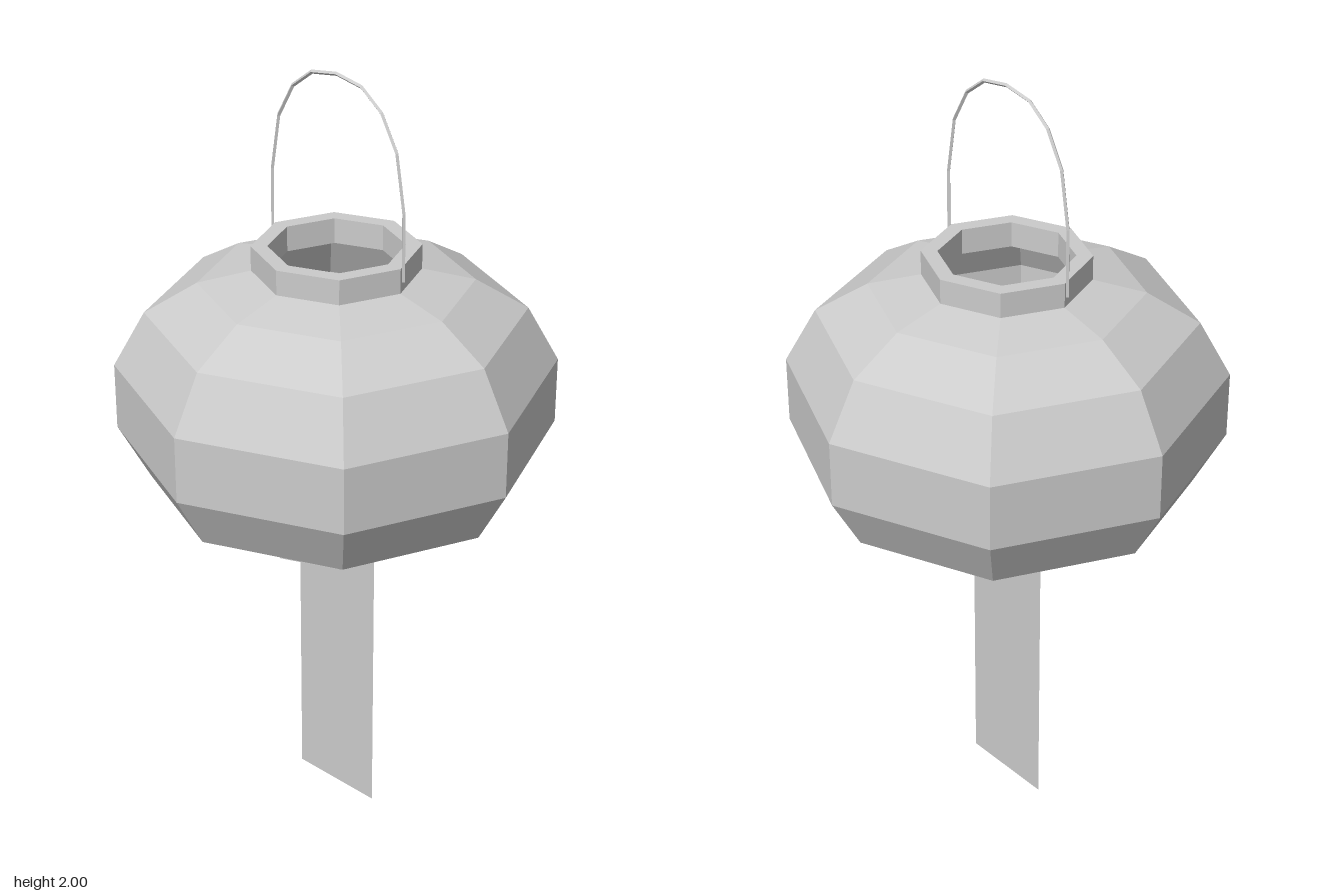
import * as THREE from 'three';

const SIDES = 8;

export function createModel() {
  const lantern = new THREE.Group();
  lantern.name = 'lantern';
  const material = new THREE.MeshStandardMaterial({
    color: 0xcccccc, flatShading: true, side: THREE.DoubleSide,
  });

  const add = (name, geometry, parent = lantern) => {
    const mesh = new THREE.Mesh(geometry, material);
    mesh.name = name;
    parent.add(mesh);
    return mesh;
  };
  const lathe = (profile) =>
    new THREE.LatheGeometry(profile.map(([r, y]) => new THREE.Vector2(r, y)), SIDES);

  // Hollow paper shade, open at both ends
  add('shade', lathe([
    [0.205, 0.85], [0.335, 0.88], [0.465, 0.95], [0.543, 1.09],
    [0.543, 1.26], [0.465, 1.40], [0.335, 1.477], [0.205, 1.507],
  ]));

  // Ring collars around the two openings
  const collar = (y0, y1) => lathe([
    [0.165, y0], [0.205, y0], [0.205, y1], [0.165, y1], [0.165, y0],
  ]);
  add('topCollar', collar(1.505, 1.57));
  add('bottomCollar', collar(0.79, 0.852));

  // Plate inside the shade
  const plate = add('innerPlate', new THREE.CircleGeometry(0.205, SIDES));
  plate.rotation.x = -Math.PI / 2;
  plate.position.y = 1.18;

  // Thin wire handle, one tube ring per listed point
  const half = [[0.214, 1.54], [0.212, 1.71], [0.188, 1.85], [0.14, 1.935], [0.078, 1.982]];
  const points = [
    ...half.map(([x, y]) => new THREE.Vector3(-x, y, 0)),
    new THREE.Vector3(0, 1.995, 0),
    ...half.map(([x, y]) => new THREE.Vector3(x, y, 0)).reverse(),
  ];
  const wire = new THREE.CatmullRomCurve3(points);
  wire.getPointAt = (t, target) => wire.getPoint(t, target);
  wire.getTangentAt = (t, target) => wire.getTangent(t, target);
  add('handle', new THREE.TubeGeometry(wire, points.length - 1, 0.005, 4));

  // Flat paper strip hanging below
  const strip = add('hangingStrip', new THREE.PlaneGeometry(0.26, 0.79));
  strip.position.y = 0.395;

  return lantern;
}
